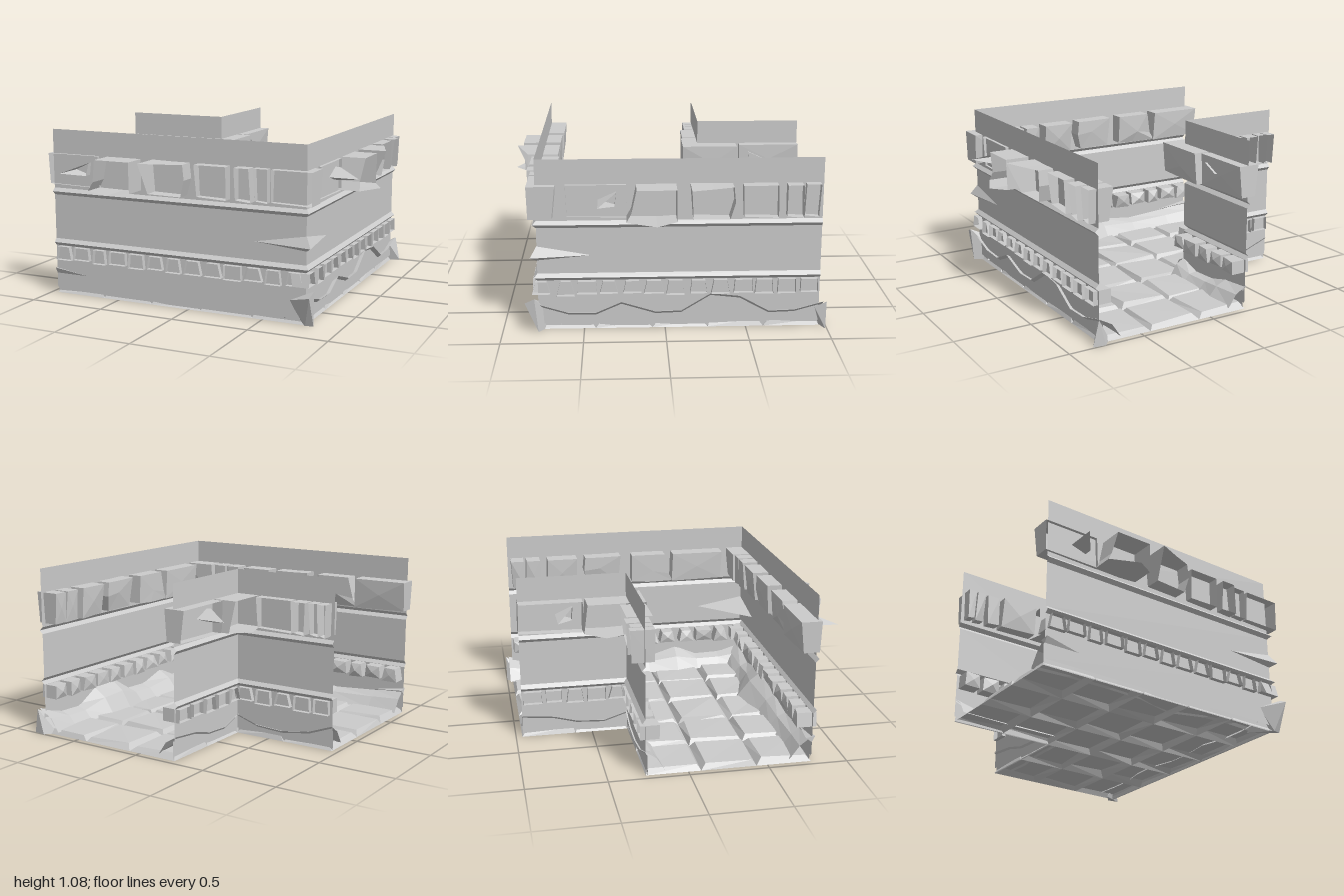
import * as THREE from 'three';
import { ConvexGeometry } from 'three/addons/geometries/ConvexGeometry.js';

const solid = new THREE.MeshStandardMaterial({ color: 0xcccccc, flatShading: true });
const sheet = new THREE.MeshStandardMaterial({ color: 0xcccccc, flatShading: true, side: THREE.DoubleSide });

// small repeatable noise in -a..a
let seed = 7;
const jit = (a) => {
  seed = (seed * 16807) % 2147483647;
  return (seed / 2147483647 * 2 - 1) * a;
};

// mesh from a list of three- or four-cornered faces
function faceMesh(name, faces) {
  const pos = [];
  for (const [a, b, c, d] of faces) {
    pos.push(...a, ...b, ...c);
    if (d) pos.push(...a, ...c, ...d);
  }
  const g = new THREE.BufferGeometry();
  g.setAttribute('position', new THREE.Float32BufferAttribute(pos, 3));
  g.computeVertexNormals();
  const m = new THREE.Mesh(g, sheet);
  m.name = name;
  return m;
}

// open surface through rows of points
function loft(name, rows) {
  const faces = [];
  for (let i = 0; i + 1 < rows.length; i++)
    for (let j = 0; j + 1 < rows[i].length; j++)
      faces.push([rows[i][j], rows[i][j + 1], rows[i + 1][j + 1], rows[i + 1][j]]);
  return faceMesh(name, faces);
}

// Open-backed stone running straight through the wall.
// outline: [along, height, depth behind the wall], anticlockwise from outside
function stone({ zin, outline }) {
  const n = outline.length;
  const front = outline.map(([u, y]) => [u, y, zin + (y < 0.8 ? Math.abs(jit(0.03)) : 0)]);
  const mid = [0, 1].map((k) => outline.reduce((s, p) => s + p[k], 0) / n);
  const faces = [];
  for (let i = 0; i < n; i++) {
    const j = (i + 1) % n;
    faces.push([front[j], front[i], [...mid, zin]]);
    faces.push([front[i], front[j], outline[j], outline[i]]);
  }
  return faces;
}

const block = (u0, u1, out, zin = -0.11) => ({ zin, outline: [
  [u0 + jit(0.008), 0.728, out * 0.7], [u1 + jit(0.012), 0.722, out * 0.9], [u1, 0.925, out], [u0, 0.925, out]] });
const shard = (u, out) => ({ zin: -0.08, outline: [[u, 0.83, out], [u + 0.1, 0.8, 0.05], [u + 0.11, 0.88, 0.03]] });

// run of large stones shared by both long walls
const stoneRun = (s) => [
  block(-0.985 + s, -0.62 + s, 0.02),
  shard(-0.79 + s, 0.19),
  { zin: -0.1, outline: [[-0.62 + s, 0.725, 0.14], [-0.44 + s, 0.722, 0.22], [-0.32 + s, 0.73, 0.15],
    [-0.32 + s, 0.925, 0.155], [-0.56 + s, 0.925, 0.155], [-0.59 + s, 0.78, 0.13]] },
  { zin: -0.1, outline: [[-0.22 + s, 0.73, 0.1], [s, 0.725, 0.09], [0.03 + s, 0.83, 0.1],
    [0.02 + s, 0.925, 0.1], [-0.1 + s, 0.925, 0.14], [-0.235 + s, 0.928, 0.19]] },
  block(0.08 + s, 0.29 + s, 0.07),
  block(0.345 + s, 0.44 + s, 0.075),
  block(0.46 + s, 0.55 + s, 0.05),
];

// row of little stones under the lower ridge
function smallStones(u0, u1) {
  const n = Math.round((u1 - u0) / 0.135), step = (u1 - u0) / n, faces = [];
  for (let i = 0; i < n; i++) {
    const l = u0 + i * step + 0.012 + jit(0.008), r = u0 + (i + 1) * step - 0.012 + jit(0.008);
    const y = 0.232 + jit(0.008), s = 0.012 + jit(0.012);
    faces.push(...stone({ zin: -0.1, outline: [[l, y, 0.03], [r, y, 0.03], [r - s, 0.318, 0.03], [l + s, 0.318, 0.03]] }));
  }
  return faceMesh('smallStones', faces);
}

// wall sheet section: [height, outward offset]
const section = [[0.035, 0], [0.32, 0], [0.342, 0.022], [0.365, 0], [0.655, 0], [0.678, 0.022], [0.7, 0], [1.08, 0]];

// In its own frame a wall runs along x at z = 0, with the room on the -z side.
function wall(o) {
  const g = new THREE.Group();
  g.name = o.name;
  g.add(loft('wallSheet', section.map(([y, d]) => [
    [o.u0 + d * (o.mitre0 || 0), y, d], [o.u1 + d * (o.mitre1 || 0), y, d]])));
  g.add(faceMesh('largeStones', o.rocks.flatMap(stone)));
  g.add(smallStones(o.s0 ?? o.u0, o.s1 ?? o.u1));
  // rubble bank and footing: [position, height, width]
  g.add(loft('rubbleBank', o.bank.map(([u, h, w]) => [
    [u, 0.025, -w], [u, 0.03 + h * 0.5, -w * 0.55], [u, h, o.crest], [u, h - 0.03, -0.012], [u, 0, -0.012]])));
  g.position.set(o.x, 0, o.z);
  g.rotation.y = o.turn;
  return g;
}

export function createModel() {
  const model = new THREE.Group();
  model.name = 'lShapedCorridor';

  // tiled floor, skipping the notch at the back left
  const lines = [-0.96, -0.61, -0.265, 0.08, 0.43, 0.78], tiles = [];
  for (let i = 0; i < 5; i++) for (let j = 0; j < 5; j++) {
    if (i < 2 && j < 2) continue;
    const [x0, x1, z0, z1] = [lines[i], lines[i + 1], lines[j], lines[j + 1]];
    const lo = [[x0, 0, z0], [x0, 0, z1], [x1, 0, z1], [x1, 0, z0]];
    const inset = () => 0.026 + jit(0.012);
    const y = 0.037 + jit(0.005), tilt = () => y + jit(0.008);
    const hi = [
      [x0 + inset(), tilt(), z0 + inset()], [x0 + inset(), tilt(), z1 - inset()],
      [x1 - inset(), tilt(), z1 - inset()], [x1 - inset(), tilt(), z0 + inset()]];
    tiles.push(hi);
    for (let k = 0; k < 4; k++) tiles.push([lo[k], lo[(k + 1) % 4], hi[(k + 1) % 4], hi[k]]);
  }
  model.add(faceMesh('floorTiles', tiles));

  // two long outer walls
  model.add(wall({
    name: 'frontWall', x: 0, z: 0.78, turn: 0, u0: -0.96, u1: 0.78, mitre1: 1, crest: -0.012,
    rocks: [...stoneRun(0), block(0.575, 0.83, 0.05, -0.12)],
    bank: [[-0.96, 0.16, 0.14], [-0.75, 0.13, 0.12], [-0.45, 0.11, 0.12], [-0.2, 0.14, 0.13], [0.08, 0.21, 0.2],
      [0.3, 0.15, 0.13], [0.5, 0.11, 0.12], [0.78, 0.17, 0.14]],
  }));
  model.add(wall({
    name: 'rightWall', x: 0.78, z: 0, turn: Math.PI / 2, u0: -0.78, u1: 0.955, mitre0: -1, s0: -0.82, crest: 0.025,
    rocks: stoneRun(0.385),
    bank: [[-0.78, 0.17, 0.14], [-0.6, 0.115, 0.12], [-0.43, 0.11, 0.12], [-0.27, 0.18, 0.16], [-0.06, 0.115, 0.13],
      [0.1, 0.12, 0.13], [0.28, 0.23, 0.17], [0.46, 0.21, 0.16], [0.64, 0.11, 0.12], [0.8, 0.115, 0.12], [0.98, 0.165, 0.13]],
  }));

  // two short walls around the notch
  model.add(wall({
    name: 'notchSideWall', x: -0.265, z: 0, turn: -Math.PI / 2, u0: -0.955, u1: -0.265, mitre1: -1, crest: 0.01,
    rocks: [block(-0.955, -0.55, 0.075, -0.065), shard(-0.72, 0.2),
      { zin: -0.105, outline: [[-0.55, 0.725, 0.12], [-0.42, 0.722, 0.21], [-0.16, 0.73, 0.14],
        [-0.16, 0.925, 0.155], [-0.53, 0.925, 0.155]] }],
    bank: [[-0.955, 0.15, 0.12], [-0.75, 0.13, 0.13], [-0.6, 0.09, 0.1], [-0.42, 0.08, 0.1], [-0.265, 0.13, 0.1]],
  }));
  model.add(wall({
    name: 'notchFrontWall', x: 0, z: -0.265, turn: Math.PI, u0: 0.265, u1: 0.96, mitre0: 1, crest: 0.01,
    rocks: [block(0.44, 0.69, 0.065, -0.095), block(0.71, 0.8, 0.085, -0.065),
      block(0.815, 0.875, 0.07, -0.065), block(0.885, 0.94, 0.085, -0.065)],
    bank: [[0.265, 0.13, 0.1], [0.42, 0.08, 0.1], [0.6, 0.07, 0.1], [0.8, 0.1, 0.11], [0.96, 0.16, 0.12]],
  }));

  // pointed splinter and footing shards at the corner and the open ends
  const hull = (name, pts) => {
    const m = new THREE.Mesh(new ConvexGeometry(pts.map((p) => new THREE.Vector3(...p))), solid);
    m.name = name;
    model.add(m);
  };
  hull('cornerSplinter', [[0.45, 0.48, 0.782], [0.782, 0.48, 0.45], [0.782, 0.54, 0.782],
    [0.82, 0.475, 0.82], [0.782, 0.45, 0.782], [0.7, 0.48, 0.7]]);
  hull('cornerFootStone', [[0.66, 0, 0.66], [0.83, 0, 0.78], [0.78, 0, 0.79], [0.83, 0.19, 0.86],
    [0.78, 0.17, 0.78], [0.84, 0.22, 0.8], [0.67, 0.14, 0.775]]);
  hull('frontEndShard', [[-0.96, 0.17, 0.8], [-0.96, 0.13, 0.779], [-0.72, 0.13, 0.779], [-0.96, 0.16, 0.74]]);
  hull('backEndStone', [[0.7, 0, -0.93], [0.84, 0, -0.99], [0.76, 0, -1.0], [0.805, 0.165, -1.0], [0.78, 0.12, -0.93]]);
  return model;
}
